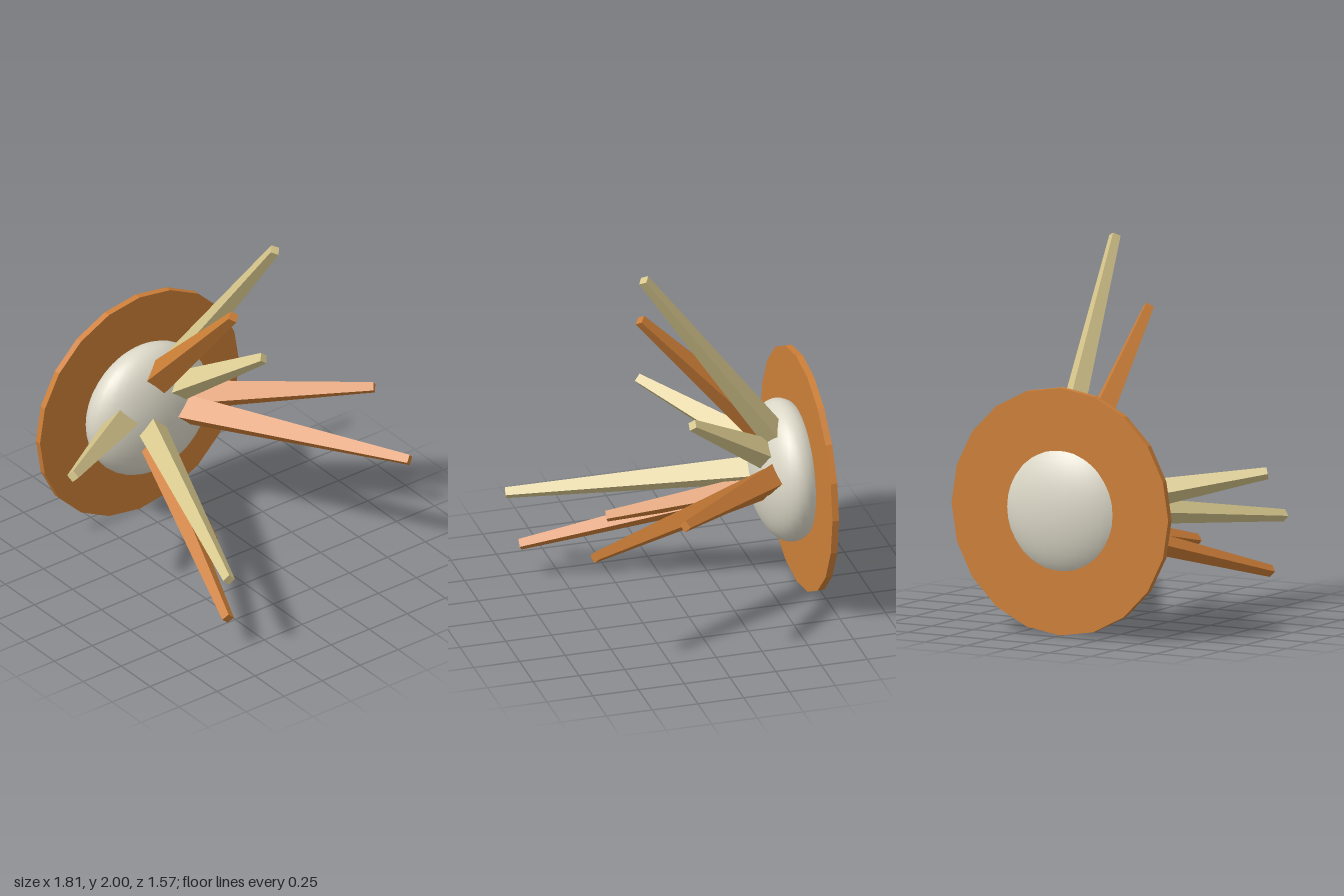
import * as THREE from 'three';

const mat = (name, color) => {
  const m = new THREE.MeshStandardMaterial({ color });
  m.name = name;
  return m;
};

// Faceted copy of a geometry: every face gets its own flat normal
function faceted(geometry) {
  const g = geometry.toNonIndexed();
  g.computeVertexNormals();
  return g;
}

// Four-sided tapering spike from its entry point on the core to its tip,
// with one corner edge facing up
function spike(name, material, entry, tip, radius) {
  const a = new THREE.Vector3(...entry);
  const b = new THREE.Vector3(...tip);
  const dir = b.clone().sub(a);
  const visible = dir.length();
  dir.normalize();
  const tipRadius = 0.032;
  const buried = 0.1; // root hidden inside the core
  const rootRadius = radius + (radius - tipRadius) * buried / visible;
  const length = visible + buried;
  const g = new THREE.CylinderGeometry(tipRadius, rootRadius, length, 4);
  g.rotateX(Math.PI / 2);
  g.translate(0, 0, length / 2 - buried);
  const mesh = new THREE.Mesh(faceted(g), material);
  mesh.name = name;
  mesh.position.copy(a);
  mesh.lookAt(b);
  return mesh;
}

export function createModel() {
  const model = new THREE.Group();
  model.name = 'spikedDisc';
  const ivory = mat('ivory', 0xdcd8c8);
  const bronze = mat('bronze', 0xcd7f38);
  const sand = mat('sand', 0xd6c68c);

  // Flattened core
  const core = new THREE.Mesh(new THREE.SphereGeometry(0.38, 32, 20), ivory);
  core.name = 'core';
  core.scale.z = 0.49;
  core.position.set(0.005, 0.66, -0.597);
  model.add(core);

  // Twenty-sided disc around the back of the core
  const plate = new THREE.CylinderGeometry(0.655, 0.655, 0.036, 20);
  plate.rotateX(Math.PI / 2);
  const disc = new THREE.Mesh(faceted(plate), bronze);
  disc.name = 'disc';
  disc.position.set(0.005, 0.656, -0.68);
  model.add(disc);

  // Spikes: material, entry point, tip, radius at entry
  const spikes = [
    [sand, [0.105, 0.95, -0.49], [0.212, 1.98, 0.235], 0.073],
    [sand, [0.125, 0.84, -0.44], [0.317, 1.15, 0.0], 0.08],
    [sand, [-0.265, 0.72, -0.48], [-0.885, 0.845, -0.068], 0.085],
    [sand, [-0.09, 0.638, -0.42], [-0.5, 0.482, 0.775], 0.08],
    [bronze, [-0.005, 0.93, -0.465], [-0.022, 1.63, 0.185], 0.085],
    [bronze, [0.235, 0.73, -0.45], [0.885, 0.857, 0.21], 0.085],
    [bronze, [0.165, 0.67, -0.43], [0.767, 0.685, 0.67], 0.09],
    [bronze, [-0.08, 0.53, -0.427], [-0.457, 0.192, 0.71], 0.07],
    [bronze, [-0.06, 0.55, -0.42], [-0.25, 0.395, 0.3], 0.068],
  ];
  spikes.forEach(([material, entry, tip, radius], i) =>
    model.add(spike(`spike${i + 1}`, material, entry, tip, radius)));

  return model;
}
